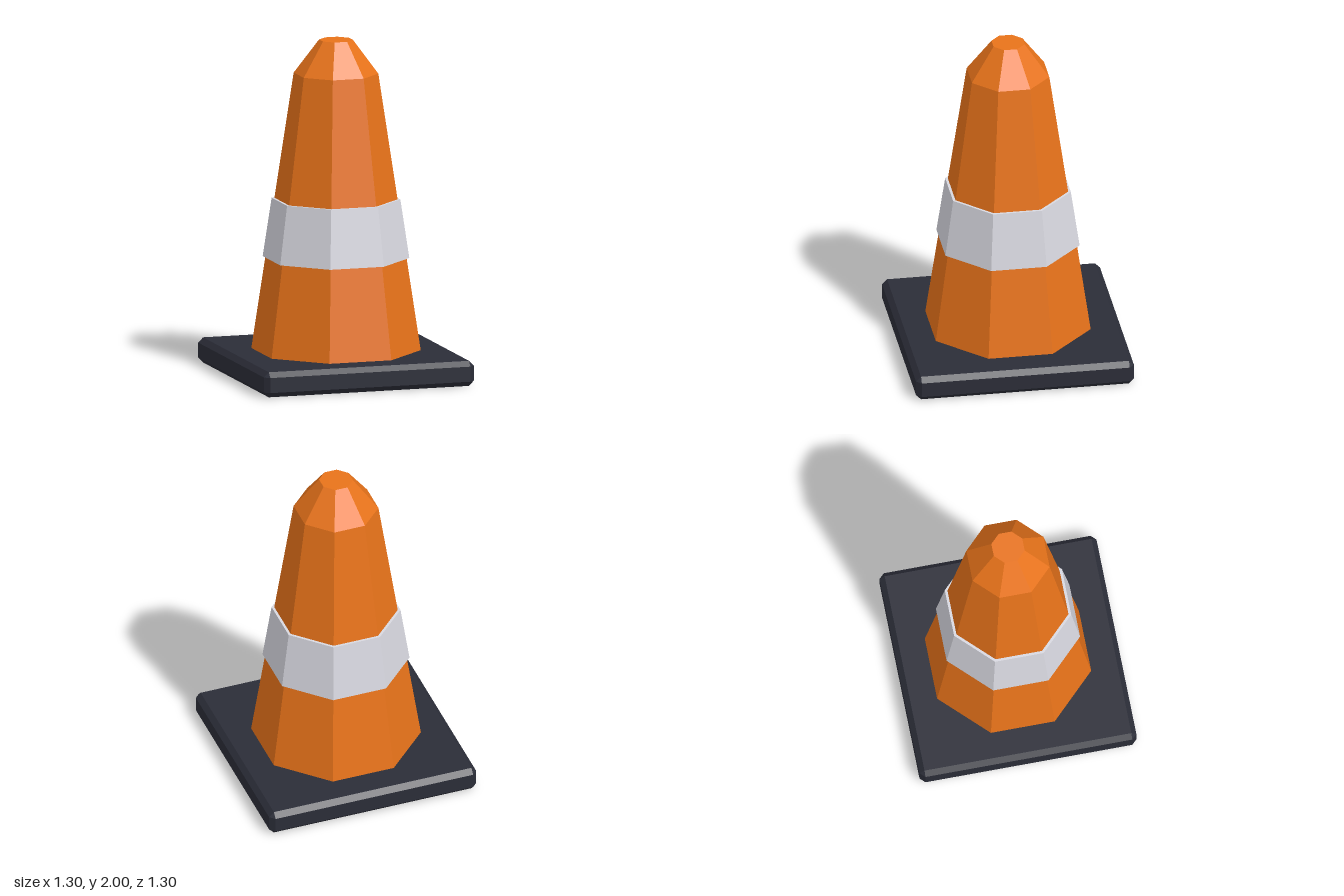
import * as THREE from 'three';
import { ConvexGeometry } from 'three/addons/geometries/ConvexGeometry.js';

const SIDES = 8;

// Faceted octagonal solid of revolution with flats facing the axes
function octagonal(profile) {
  const points = profile.map(([r, y]) => new THREE.Vector2(r, y));
  return new THREE.LatheGeometry(points, SIDES, Math.PI / SIDES);
}

// Box with every edge chamfered by c
function chamferedBox(w, h, d, c) {
  const points = [];
  for (const x of [-1, 1]) for (const y of [-1, 1]) for (const z of [-1, 1]) {
    const [a, b, e] = [w / 2, h / 2, d / 2];
    points.push(
      new THREE.Vector3(x * a, y * (b - c), z * (e - c)),
      new THREE.Vector3(x * (a - c), y * b, z * (e - c)),
      new THREE.Vector3(x * (a - c), y * (b - c), z * e)
    );
  }
  return new ConvexGeometry(points);
}

export function createModel() {
  const group = new THREE.Group();
  group.name = 'trafficCone';

  const add = (name, geometry, color) => {
    const material = new THREE.MeshStandardMaterial({ color, flatShading: true });
    const mesh = new THREE.Mesh(geometry, material);
    mesh.name = name;
    group.add(mesh);
    return mesh;
  };

  // Square rubber foot
  add('base', chamferedBox(1.3, 0.15, 1.3, 0.03), 0x2b2d38).position.y = 0.075;

  // Tapered body with a steeper tip and flat cap
  add('coneBody', octagonal([[0.5, 0.15], [0.25, 1.8], [0.1, 2], [0, 2]]), 0xe8731a);

  // Pale sleeve standing slightly proud of the body
  add('reflectiveBand', octagonal([[0.41, 0.7], [0.433, 0.7], [0.38, 1.05], [0.36, 1.05]]), 0xd8d8e0);

  return group;
}
